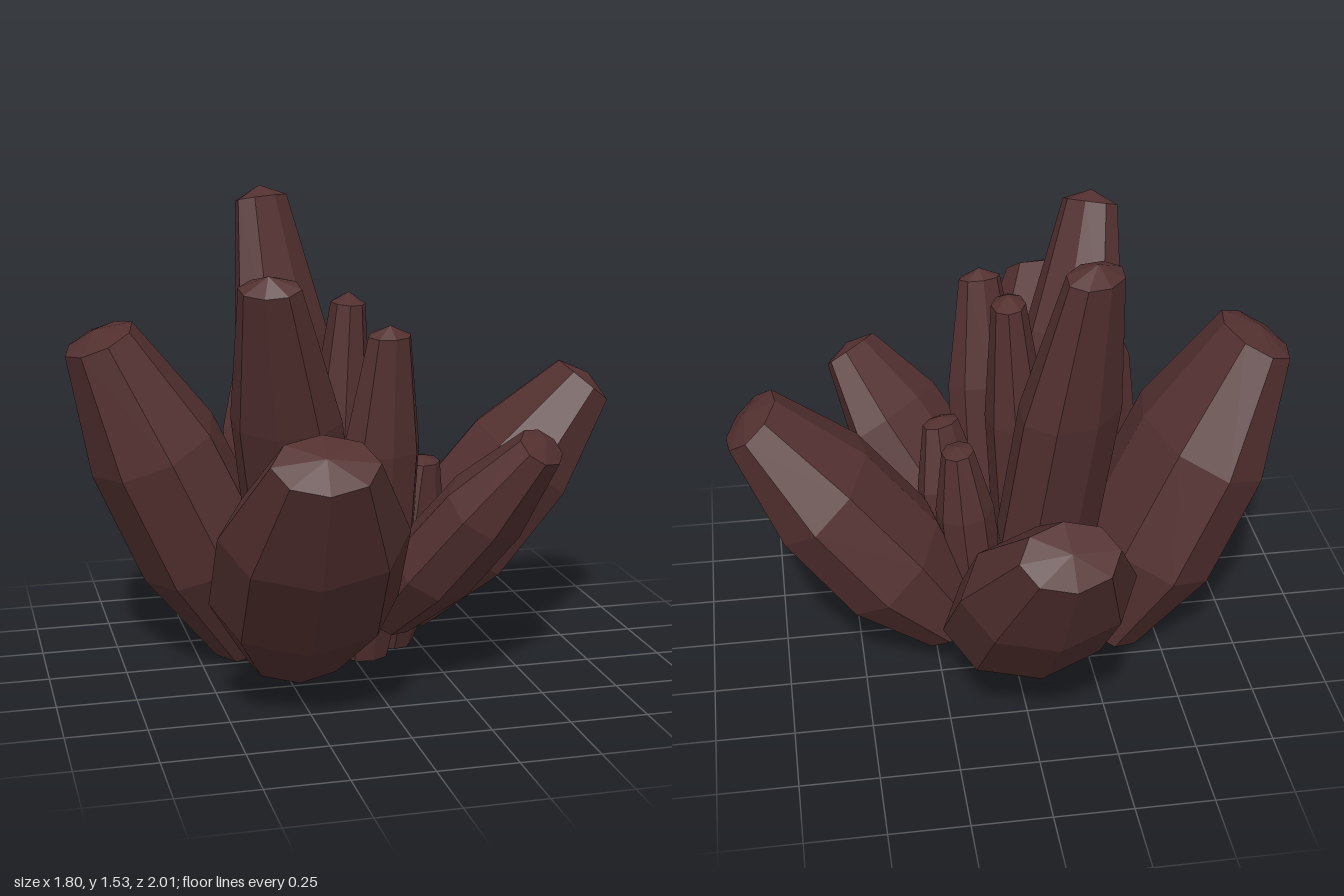
import * as THREE from 'three';

// Barrel profile shared by all crystals: [radius, height], both relative
const PROFILE = [[0, 0], [0.58, 0], [1, 0.31], [0.97, 0.66], [0.53, 1], [0, 1.03]];

// name, base centre, tip rim centre, greatest width, greatest depth (towards the lean)
const CRYSTALS = [
  ['frontCrystal', [-0.25, 0.13, 0.29], [-0.3, 0.89, 0.925], 0.58, 0.4],
  ['backCrystal', [0.01, 0.13, -0.29], [-0.05, 0.89, -0.925], 0.56, 0.4],
  ['leftCrystal', [0.2, 0.13, -0.11], [0.815, 0.89, -0.03], 0.58, 0.4],
  ['rightCrystal', [-0.32, 0.053, -0.1], [-0.8, 1.09, -0.07], 0.63, 0.45],
  ['frontLeftCrystal', [0.07, 0.21, 0.24], [0.46, 0.81, 0.55], 0.44, 0.28],
  ['tallBackCrystal', [-0.06, 0.1, -0.15], [-0.21, 1.49, -0.39], 0.39, 0.26],
  ['tallFrontCrystal', [-0.14, 0.08, 0.06], [-0.37, 1.32, 0.525], 0.36, 0.24],
  ['slimFrontCrystal', [0, 0.07, 0.21], [0.03, 1.14, 0.37], 0.27, 0.18],
  ['slimCentreCrystal', [-0.09, 0.03, 0.04], [-0.02, 1.195, 0.05], 0.29, 0.21],
  ['shortBackCrystal', [0.1, 0.08, -0.05], [0.16, 0.72, -0.04], 0.24, 0.2],
  ['shortFrontCrystal', [0.12, 0.07, 0.11], [0.19, 0.7, 0.19], 0.26, 0.19],
];

function makeCrystal(name, base, tip, width, depth, material) {
  const from = new THREE.Vector3(...base);
  const axis = new THREE.Vector3(...tip).sub(from);
  const length = axis.length();
  axis.normalize();

  // Eight-sided flattened barrel with a shallow pointed cap
  const points = PROFILE.map(([r, h]) => new THREE.Vector2(r, h));
  const geometry = new THREE.LatheGeometry(points, 8);
  geometry.scale(width / 2, length, depth / 2);

  // Broad side lies level, thin side follows the lean
  const across = new THREE.Vector3(0, 1, 0).cross(axis).normalize();
  const outward = across.clone().cross(axis);
  geometry.applyMatrix4(new THREE.Matrix4().makeBasis(across, axis, outward).setPosition(from));
  geometry.computeVertexNormals();

  const mesh = new THREE.Mesh(geometry, material);
  mesh.name = name;
  return mesh;
}

export function createModel() {
  const group = new THREE.Group();
  group.name = 'crystalCluster';
  const material = new THREE.MeshStandardMaterial({ color: 0x533030, flatShading: true });
  for (const crystal of CRYSTALS) group.add(makeCrystal(...crystal, material));
  return group;
}
